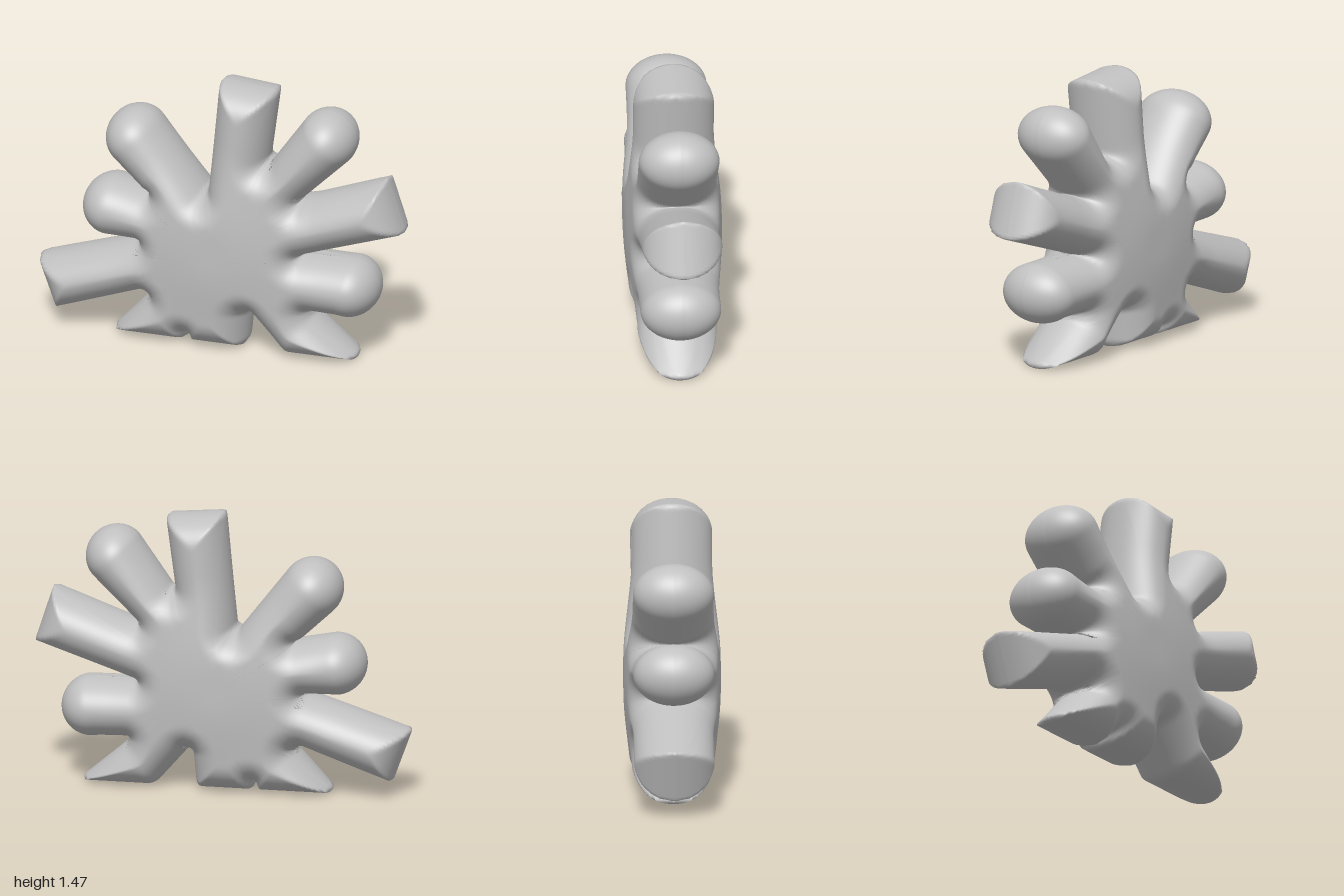
import * as THREE from 'three';

const CENTRE = new THREE.Vector2(0, 0.57);
const SAMPLES = 640, RINGS = 40;
const ARM_DEPTH = 0.21, EDGE = 0.16;

// Star outline, anticlockwise: straight corners as [x, y],
// rounded arm ends as [x, y, radius, startDegrees, endDegrees]
const OUTLINE = [
  [0.45, 0.56], [0.99, 0.74], [0.895, 1.03], [0.5, 0.885], [0.44, 0.87],
  [0.565, 1.21, 0.157, -40, 135], [0.27, 1.06], [0.245, 1.06],
  [0.295, 1.435], [0.28, 1.45], [0, 1.475], [-0.015, 1.46],
  [-0.07, 0.87], [-0.09, 0.855],
  [-0.475, 1.09, 0.16, 40, 225], [-0.42, 0.82], [-0.39, 0.81],
  [-0.6, 0.69, 0.16, 85, 260], [-0.45, 0.53],
  [-1, 0.355], [-0.9, 0.08], [-0.42, 0.25], [-0.39, 0.23],
  [-0.585, 0.02], [-0.57, 0], [-0.2, 0], [-0.178, 0.05], [-0.165, 0.01],
  [-0.155, 0], [0.115, 0], [0.135, 0.03], [0.15, 0.2], [0.17, 0.21],
  [0.34, 0.015], [0.37, 0], [0.725, 0], [0.735, 0.02], [0.5, 0.22], [0.49, 0.25],
  [0.69, 0.4, 0.16, 255, 440],
];

function outlinePoints() {
  const shape = new THREE.Shape();
  OUTLINE.forEach(([x, y, r, a, b], i) => {
    if (i === 0) shape.moveTo(x, y);
    else if (r) shape.absarc(x, y, r, THREE.MathUtils.degToRad(a), THREE.MathUtils.degToRad(b), false);
    else shape.lineTo(x, y);
  });
  shape.closePath();
  return shape.getSpacedPoints(SAMPLES).slice(0, SAMPLES);
}

// Distance from a point to the outline
function edgeDistance(x, y, pts) {
  let best = Infinity;
  for (let i = 0; i < pts.length; i++) {
    const a = pts[i], b = pts[(i + 1) % pts.length];
    const dx = b.x - a.x, dy = b.y - a.y;
    const t = Math.min(1, Math.max(0, ((x - a.x) * dx + (y - a.y) * dy) / (dx * dx + dy * dy || 1)));
    best = Math.min(best, (a.x + t * dx - x) ** 2 + (a.y + t * dy - y) ** 2);
  }
  return Math.sqrt(best);
}

// Rounded cushion profile with a gentle swelling over the body
function depthAt(x, y, pts) {
  const d = Math.min(1, edgeDistance(x, y, pts) / EDGE);
  const r = Math.hypot(x - CENTRE.x, y - CENTRE.y);
  const swell = 0.042 * (1 - THREE.MathUtils.smoothstep(r, 0.08, 0.6));
  return (ARM_DEPTH + swell) * Math.sqrt(1 - (1 - d) ** 2);
}

// One half of the cushion: rings from the centre out to the outline
function halfGeometry(pts, side) {
  const position = [CENTRE.x, CENTRE.y, side * depthAt(CENTRE.x, CENTRE.y, pts)];
  const index = [];
  const tri = (a, b, c) => (side > 0 ? index.push(a, b, c) : index.push(a, c, b));
  const id = (ring, i) => 1 + (ring - 1) * SAMPLES + (i % SAMPLES);
  for (let ring = 1; ring <= RINGS; ring++) {
    const t = 1 - (1 - ring / RINGS) ** 1.7;
    for (let i = 0; i < SAMPLES; i++) {
      const x = THREE.MathUtils.lerp(CENTRE.x, pts[i].x, t);
      const y = THREE.MathUtils.lerp(CENTRE.y, pts[i].y, t);
      position.push(x, y, ring === RINGS ? 0 : side * depthAt(x, y, pts));
      if (ring === 1) tri(0, id(1, i), id(1, i + 1));
      else {
        tri(id(ring - 1, i), id(ring, i), id(ring, i + 1));
        tri(id(ring - 1, i), id(ring, i + 1), id(ring - 1, i + 1));
      }
    }
  }
  const geometry = new THREE.BufferGeometry();
  geometry.setAttribute('position', new THREE.Float32BufferAttribute(position, 3));
  geometry.setIndex(index);
  geometry.computeVertexNormals();
  return geometry;
}

export function createModel() {
  const group = new THREE.Group();
  group.name = 'inflatedStar';
  const grey = new THREE.MeshStandardMaterial({ color: 0xc0c0c0 });
  grey.name = 'light grey';
  const pts = outlinePoints();
  // Front and back halves meet in a sharp seam
  for (const [name, side] of [['frontHalf', 1], ['backHalf', -1]]) {
    const mesh = new THREE.Mesh(halfGeometry(pts, side), grey);
    mesh.name = name;
    group.add(mesh);
  }
  return group;
}
